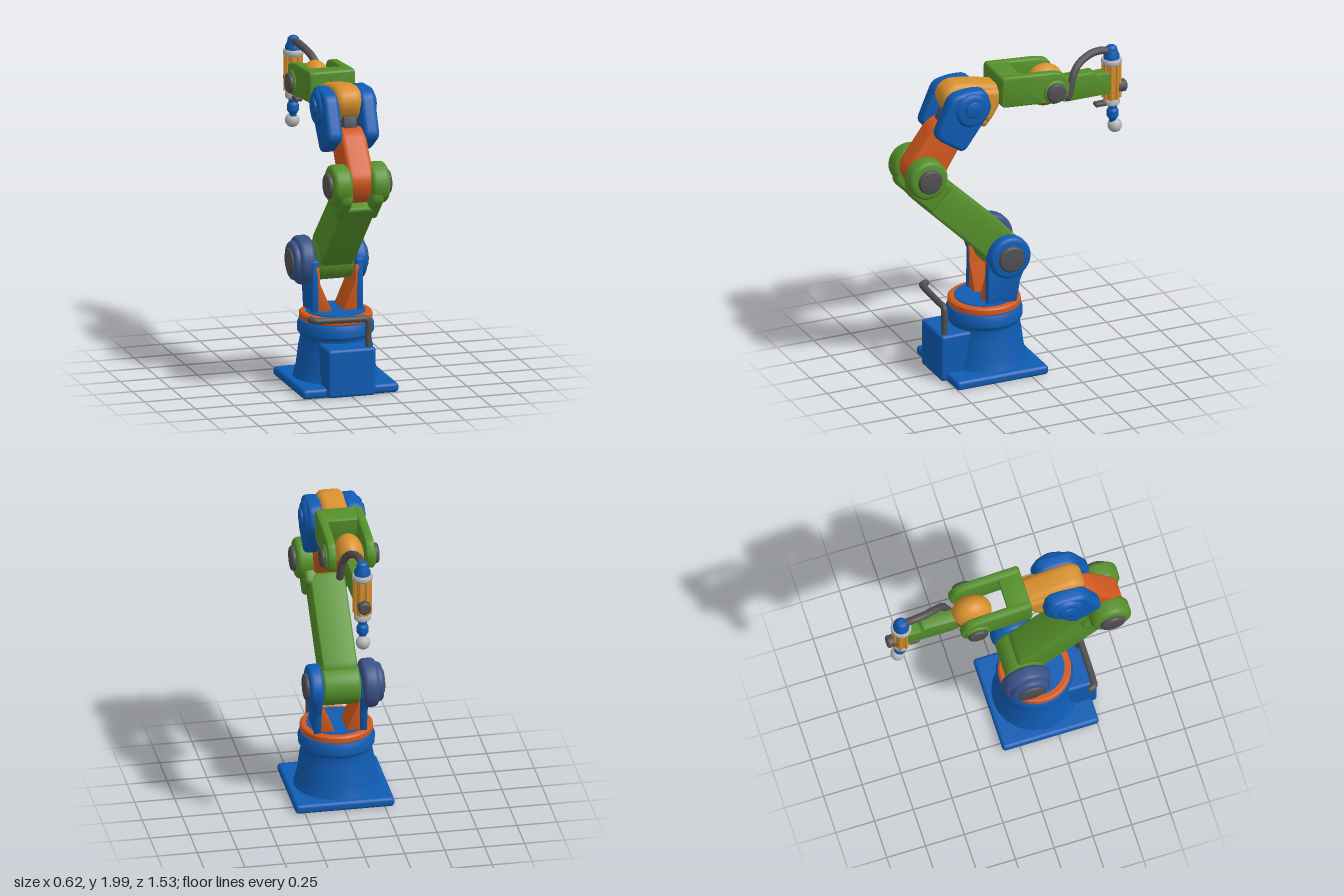
import * as THREE from 'three';
import { toCreasedNormals } from 'three/addons/utils/BufferGeometryUtils.js';
import { RoundedBoxGeometry } from 'three/addons/geometries/RoundedBoxGeometry.js';

const material = (name, color) => {
  const m = new THREE.MeshStandardMaterial({ color });
  m.name = name;
  return m;
};

export function createModel() {
  const root = new THREE.Group();
  root.name = 'robotArm';
  const blue = material('blue', 0x0f5cb4);
  const slate = material('slate blue', 0x3a5288);
  const green = material('green', 0x55902a);
  const orange = material('red orange', 0xd2591e);
  const amber = material('amber', 0xd8902e);
  const dark = material('dark grey', 0x505052);
  const light = material('light grey', 0xb8b8b8);

  const add = (name, geometry, mat, x = 0, y = 0, z = 0) => {
    const mesh = new THREE.Mesh(geometry, mat);
    mesh.name = name;
    mesh.position.set(x, y, z);
    root.add(mesh);
    return mesh;
  };

  // Closed outline with corners rounded by r
  const outline = (points, r) => {
    const pts = points.map(([a, b]) => new THREE.Vector2(a, b));
    const shape = new THREE.Shape();
    pts.forEach((p, i) => {
      const toward = (q) => {
        const d = q.clone().sub(p);
        return p.clone().addScaledVector(d, Math.min(r / d.length(), 0.48));
      };
      const a = toward(pts[(i + pts.length - 1) % pts.length]);
      const b = toward(pts[(i + 1) % pts.length]);
      if (i === 0) shape.moveTo(a.x, a.y); else shape.lineTo(a.x, a.y);
      shape.quadraticCurveTo(p.x, p.y, b.x, b.y);
    });
    shape.closePath();
    return shape;
  };

  const extrude = (shape, depth, bevel) => {
    const g = new THREE.ExtrudeGeometry(shape, {
      depth: depth - 2 * bevel, curveSegments: 10, bevelEnabled: true, bevelSize: bevel,
      bevelThickness: bevel, bevelOffset: -bevel, bevelSegments: 4,
    });
    g.translate(0, 0, bevel - depth / 2);
    return toCreasedNormals(g, 0.7);
  };

  // Side profile given as (z, y), running from x0 to x1
  const slab = (name, points, x0, x1, mat, r = 0.03, bevel = 0.015) => {
    const g = extrude(outline(points, r), x1 - x0, bevel);
    g.rotateY(-Math.PI / 2);
    return add(name, g, mat, (x0 + x1) / 2);
  };

  // Disc with rounded rims on a sideways axis
  const disc = (name, z, y, radius, x0, x1, mat, bevel = 0.015) => {
    const h = (x1 - x0) / 2, profile = [new THREE.Vector2(0, -h)];
    for (const s of [-1, 1]) {
      for (let i = 0; i <= 4; i++) {
        const a = (s < 0 ? i - 4 : i) * Math.PI / 8;
        profile.push(new THREE.Vector2(radius - bevel + bevel * Math.cos(a), s * (h - bevel) + bevel * Math.sin(a)));
      }
    }
    profile.push(new THREE.Vector2(0, h));
    const g = toCreasedNormals(new THREE.LatheGeometry(profile, 40), 0.7);
    g.rotateZ(Math.PI / 2);
    return add(name, g, mat, (x0 + x1) / 2, y, z);
  };

  const lathe = (name, points, mat, x, y, z, sides = 40) => add(name,
    toCreasedNormals(new THREE.LatheGeometry(points.map(([r, h]) => new THREE.Vector2(r, h)), sides), 0.6), mat, x, y, z);

  const tube = (name, points, radius, mat) => {
    const path = new THREE.CatmullRomCurve3(points.map((p) => new THREE.Vector3(...p)), false, 'centripetal');
    add(name, new THREE.TubeGeometry(path, 48, radius, 12), mat);
    for (const p of [points[0], points[points.length - 1]]) add(name + 'End', new THREE.SphereGeometry(radius, 12, 8), mat, ...p);
  };

  const bothSides = (build) => [1, -1].forEach((s) => build((a, b) => (s > 0 ? [a, b] : [-b, -a]), s));

  // Base
  add('basePlate', new RoundedBoxGeometry(0.62, 0.06, 0.62, 3, 0.022), blue, 0, 0.03, 0.2);
  lathe('basePedestal', [[0, 0.03], [0.275, 0.03], [0.262, 0.07], [0.245, 0.13], [0.23, 0.25], [0.218, 0.31], [0.222, 0.33],
    [0.236, 0.345], [0.238, 0.39], [0.225, 0.42], [0.2, 0.43], [0, 0.43]], blue, 0, 0, 0.19);
  add('baseFrontBox', new RoundedBoxGeometry(0.31, 0.305, 0.3, 3, 0.02), blue, -0.003, 0.1565, 0.395);
  lathe('turntableRing', [[0, 0.42], [0.215, 0.42], [0.226, 0.43], [0.226, 0.46], [0.215, 0.47], [0, 0.47]], orange, 0, 0, 0.19);
  add('turntableFloor', new THREE.CylinderGeometry(0.185, 0.185, 0.008, 40), blue, 0, 0.472, 0.19);
  tube('handle', [[0.11, 0.29, 0.508], [0.11, 0.38, 0.508], [0.11, 0.47, 0.508], [0.095, 0.487, 0.508], [0.05, 0.488, 0.508],
    [-0.2, 0.495, 0.505], [-0.235, 0.497, 0.5], [-0.248, 0.498, 0.47]], 0.021, dark);

  // Shoulder uprights with slanted inner gussets
  bothSides((span, s) => {
    slab('shoulderUpright', [[0.24, 0.45], [0.235, 0.8], [0.06, 0.84], [-0.03, 0.72], [0.02, 0.6], [0.045, 0.45]],
      ...span(0.122, 0.165), blue, 0.02, 0.008);
    const gusset = outline([[0.035, 0.47], [0.13, 0.47], [0.14, 0.76], [0.117, 0.76], [0.112, 0.65]].map(([x, y]) => [s * x, y]), 0.005);
    add('shoulderGusset', extrude(gusset, 0.19, 0.003), orange, 0, 0, 0.141);
  });
  disc('rightShoulderHub', 0.095, 0.774, 0.137, 0.115, 0.2, blue, 0.025);
  disc('rightShoulderCap', 0.095, 0.774, 0.085, 0.18, 0.222, dark);
  disc('leftShoulderMotor', 0.08, 0.775, 0.152, -0.228, -0.13, slate, 0.028);
  disc('leftShoulderMotorCover', 0.085, 0.775, 0.122, -0.262, -0.2, slate, 0.022);
  disc('leftShoulderCap', 0.09, 0.775, 0.08, -0.275, -0.24, dark, 0.012);

  // Lower arm and elbow fork
  slab('lowerArm', [[0.7, 1.235], [0.21, 0.75], [0.12, 0.74], [0.04, 0.85], [0.06, 0.925], [0.5, 1.35]], -0.11, 0.11, green, 0.03, 0.02);
  disc('lowerArmPivot', 0.095, 0.774, 0.126, -0.118, 0.118, green, 0.02);
  bothSides((span) => {
    slab('elbowCheek', [[0.753, 1.29], [0.755, 1.38], [0.62, 1.46], [0.5, 1.35], [0.45, 1.3], [0.6, 1.14]],
      ...span(0.06, 0.14), green, 0.03, 0.025);
    disc('elbowHub', 0.636, 1.389, 0.129, ...span(0.06, 0.18), green, 0.03);
    disc('elbowCap', 0.636, 1.389, 0.078, ...span(0.16, 0.205), dark);
  });

  // Upper arm
  slab('upperArm', [[0.6, 1.245], [0.7, 1.3], [0.75, 1.43], [0.55, 1.7], [0.46, 1.72], [0.372, 1.55], [0.5, 1.34], [0.55, 1.25]],
    -0.083, 0.083, orange, 0.06, 0.03);

  // Wrist housing: two cheeks and a rear web
  bothSides((span) => {
    slab('housingCheek', [[0.475, 1.915], [0.585, 1.655], [0.395, 1.525], [0.2, 1.79], [0.24, 1.925], [0.35, 1.935]],
      ...span(0.068, 0.168), blue, 0.05, 0.028);
    disc('housingHub', 0.345, 1.81, 0.112, ...span(0.08, 0.188), blue, 0.03);
    disc('housingCap', 0.345, 1.82, 0.055, ...span(0.17, 0.203), blue, 0.012);
  });
  slab('housingWeb', [[0.45, 1.61], [0.4, 1.545], [0.25, 1.74], [0.32, 1.76]], -0.1, 0.1, blue, 0.02, 0.01);
  slab('housingPlug', [[0.51, 1.7], [0.48, 1.78], [0.36, 1.76], [0.4, 1.65]], -0.04, 0.04, dark, 0.01, 0.005);

  // Amber swivel
  slab('swivel', [[0.505, 1.85], [0.485, 1.92], [0.42, 1.958], [0.3, 1.945], [0.1, 1.9], [0.11, 1.78], [0.19, 1.64],
    [0.225, 1.625], [0.27, 1.67], [0.36, 1.69], [0.46, 1.76]], -0.085, 0.085, amber, 0.045, 0.045);
  slab('swivelFlange', [[0.24, 1.9], [0.1, 1.88], [0.12, 1.77], [0.19, 1.66], [0.25, 1.7]], -0.102, 0.102, amber, 0.04, 0.04);

  // Forearm fork
  bothSides((span) => {
    slab('forkCheek', [[0.13, 1.978], [-0.22, 1.95], [-0.29, 1.93], [-0.33, 1.85], [-0.31, 1.76], [-0.24, 1.735], [-0.12, 1.755],
      [0.135, 1.775]], ...span(0.092, 0.147), green, 0.03, 0.014);
    disc('forkHub', -0.225, 1.82, 0.078, ...span(0.11, 0.16), green);
    disc('forkCap', -0.225, 1.82, 0.064, ...span(0.14, 0.183), dark);
  });
  slab('forkWeb', [[0.13, 1.975], [-0.02, 1.962], [0.02, 1.77], [0.135, 1.778]], -0.13, 0.13, green, 0.02, 0.012);

  // Two-coloured wrist ball
  [[amber, 0, 'wristBallTop'], [orange, Math.PI / 2, 'wristBallBottom']].forEach(([mat, start, name]) => {
    const g = new THREE.SphereGeometry(0.137, 36, 14, 0, Math.PI * 2, start, Math.PI / 2);
    add(name, g.scale(0.68, 1, 0.93), mat, 0, 1.815, -0.218);
  });

  // Slim end link
  slab('endLink', [[-0.29, 1.845], [-0.54, 1.852], [-0.55, 1.83], [-0.66, 1.83], [-0.66, 1.685], [-0.34, 1.685], [-0.29, 1.71]],
    -0.042, 0.042, green, 0.015, 0.01);

  // Tool head
  const toolZ = -0.67;
  lathe('toolBody', [[0, 1.64], [0.046, 1.64], [0.05, 1.65], [0.05, 1.89], [0, 1.89]], amber, 0, 0, toolZ);
  for (let i = 0; i < 8; i++) {
    const a = (i + 0.5) * Math.PI / 4;
    add('toolRib', new THREE.CylinderGeometry(0.011, 0.011, 0.25, 10), amber, 0.05 * Math.cos(a), 1.768, toolZ + 0.05 * Math.sin(a));
  }
  lathe('toolTopRing', [[0, 1.87], [0.058, 1.87], [0.064, 1.88], [0.064, 1.898], [0.058, 1.908], [0, 1.908]], light, 0, 0, toolZ);
  lathe('toolCap', [[0, 1.9], [0.05, 1.9], [0.05, 1.93], [0.038, 1.955], [0.034, 1.98], [0.02, 1.992], [0, 1.994]], blue, 0, 0, toolZ);
  lathe('toolBottomRing', [[0, 1.595], [0.042, 1.595], [0.052, 1.605], [0.052, 1.628], [0.045, 1.642], [0, 1.642]], light, 0, 0, toolZ);
  add('toolBracket', new RoundedBoxGeometry(0.05, 0.028, 0.1, 2, 0.01), dark, 0, 1.612, -0.605);
  lathe('toolNozzle', [[0, 1.47], [0.02, 1.47], [0.022, 1.495], [0.036, 1.515], [0.036, 1.555], [0.026, 1.57], [0.03, 1.6], [0, 1.6]],
    blue, 0, 0, -0.678);
  add('tipBall', new THREE.SphereGeometry(0.045, 28, 18), light, 0, 1.45, -0.692);
  const knob = lathe('toolKnob', [[0, 0], [0.036, 0], [0.04, 0.01], [0.04, 0.055], [0.03, 0.066], [0, 0.066]], dark, 0, 1.71, -0.7, 24);
  knob.rotation.x = -Math.PI / 2;

  // Hose from the tool cap down to the wrist
  tube('hose', [[0, 1.96, -0.65], [0, 1.97, -0.59], [0.01, 1.963, -0.52], [0.04, 1.925, -0.43], [0.062, 1.87, -0.385],
    [0.075, 1.79, -0.36], [0.078, 1.735, -0.342]], 0.024, dark);

  return root;
}
